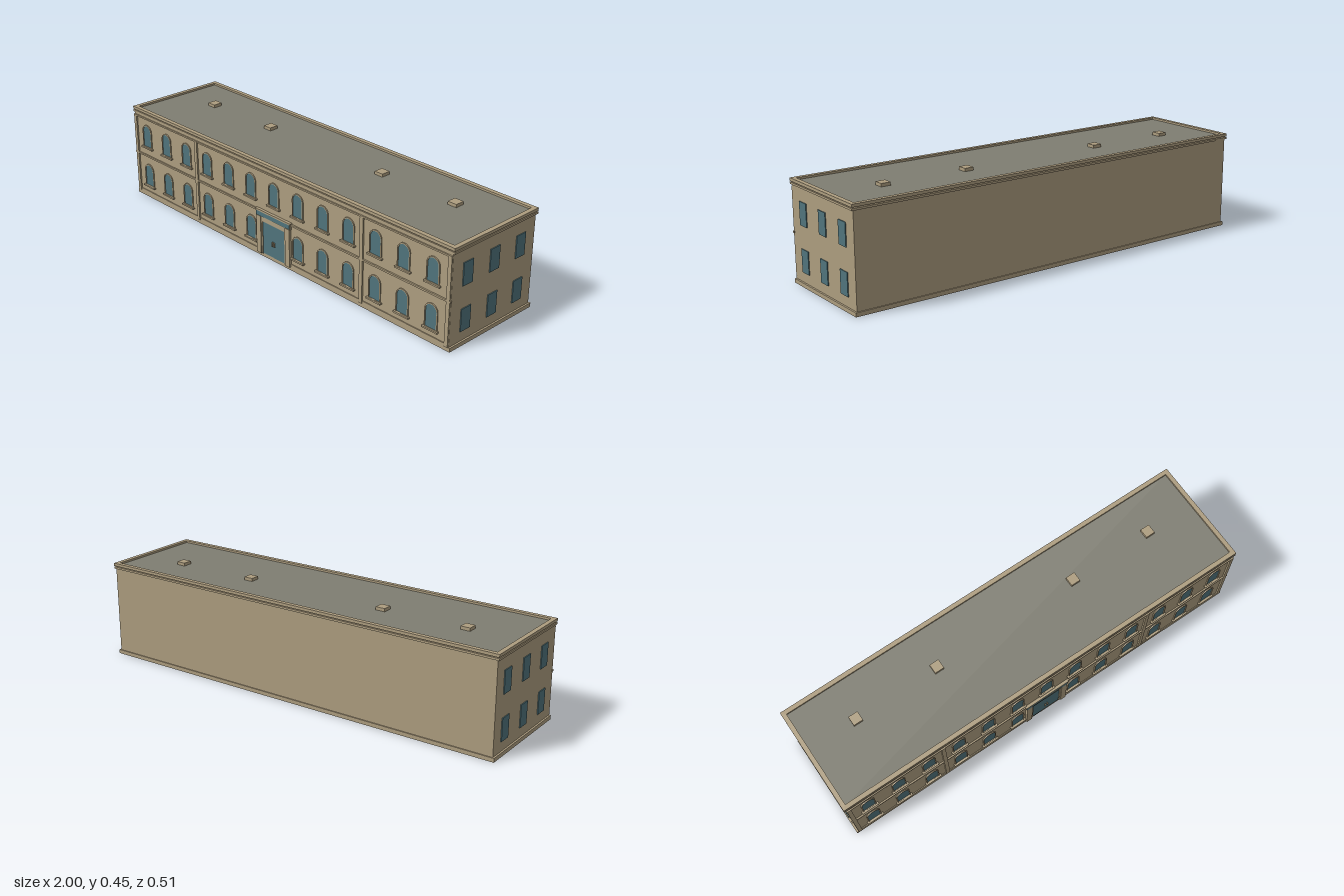
import * as THREE from 'three';

const material = (name, color) => {
  const m = new THREE.MeshStandardMaterial({ color });
  m.name = name;
  return m;
};

export function createModel() {
  const stone = material('tan stone', 0xad9d7f);
  const glass = material('teal glass', 0x50747c);
  const roofing = material('grey roofing', 0x7f7e72);
  const model = new THREE.Group();
  model.name = 'longBuilding';

  const add = (name, geometry, mat, parent = model) => {
    const mesh = new THREE.Mesh(geometry, mat);
    mesh.name = name;
    parent.add(mesh);
    return mesh;
  };
  // Box given by its limits on each axis
  const box = (name, mat, x0, x1, y0, y1, z0, z1, parent) => {
    const mesh = add(name, new THREE.BoxGeometry(x1 - x0, y1 - y0, z1 - z0), mat, parent);
    mesh.position.set((x0 + x1) / 2, (y0 + y1) / 2, (z0 + z1) / 2);
    return mesh;
  };
  // Round-headed outline standing on y = 0
  const arch = (target, halfWidth, height, y0 = 0) => {
    target.moveTo(-halfWidth, y0);
    target.lineTo(halfWidth, y0);
    target.lineTo(halfWidth, height - halfWidth);
    target.absarc(0, height - halfWidth, halfWidth, 0, Math.PI, false);
    target.lineTo(-halfWidth, y0);
    return target;
  };

  // Main block, plinth and cornice bands
  box('walls', stone, -0.992, 0.992, 0.005, 0.425, -0.25, 0.242);
  box('plinth', stone, -1, 1, 0, 0.018, -0.255, 0.245);
  box('lowerCornice', stone, -1, 1, 0.421, 0.43, -0.255, 0.245);
  box('corniceNeck', stone, -0.98, 0.98, 0.428, 0.435, -0.235, 0.225);

  // Parapet ring around the sunken roof
  const rim = new THREE.Shape([[-1, -0.245], [1, -0.245], [1, 0.255], [-1, 0.255]]
    .map(p => new THREE.Vector2(...p)));
  rim.holes.push(new THREE.Path([[-0.98, -0.225], [-0.98, 0.235], [0.98, 0.235], [0.98, -0.225]]
    .map(p => new THREE.Vector2(...p))));
  const parapet = add('parapet', new THREE.ExtrudeGeometry(rim, { depth: 0.013, bevelEnabled: false }), stone);
  parapet.rotation.x = -Math.PI / 2;
  parapet.position.y = 0.434;
  box('roof', roofing, -0.982, 0.982, 0.433, 0.438, -0.237, 0.227);
  for (const x of [-0.755, -0.355, 0.345, 0.745])
    box('roofVent', stone, x - 0.022, x + 0.022, 0.436, 0.452, -0.078, -0.034);

  // Raised strips that divide the front into bays
  for (const x of [-0.982, -0.525, 0.525, 0.982])
    box('pilaster', stone, x - 0.009, x + 0.009, 0.018, 0.412, 0.24, 0.249);
  box('beltCourse', stone, -0.996, 0.996, 0.214, 0.222, 0.24, 0.249);
  box('topBand', stone, -0.992, 0.992, 0.405, 0.412, 0.24, 0.248);
  box('bottomBand', stone, -0.992, 0.992, 0.018, 0.03, 0.24, 0.246);

  // Arched front windows with a slim moulding and a sill
  const pane = new THREE.ExtrudeGeometry(arch(new THREE.Shape(), 0.029, 0.108),
    { depth: 0.003, bevelEnabled: false, curveSegments: 10 });
  const ring = arch(new THREE.Shape(), 0.033, 0.112);
  ring.holes.push(arch(new THREE.Path(), 0.028, 0.107, 0.002));
  const moulding = new THREE.ExtrudeGeometry(ring, { depth: 0.006, bevelEnabled: false, curveSegments: 10 });
  for (const y of [0.063, 0.264]) {
    for (let i = -6; i <= 6; i++) {
      if (i === 0 && y < 0.2) continue; // doorway
      const frontWindow = new THREE.Group();
      frontWindow.name = 'archedWindow';
      frontWindow.position.set(i * 0.15, y, 0.241);
      add('windowGlass', pane, glass, frontWindow);
      add('windowMoulding', moulding, stone, frontWindow);
      box('windowSill', stone, -0.04, 0.04, -0.006, 0.001, 0, 0.013, frontWindow);
      model.add(frontWindow);
    }
  }

  // Plain windows on both ends
  for (const side of [-1, 1])
    for (const y of [0.062, 0.262])
      for (const z of [0.153, -0.005, -0.163])
        box('endWindow', glass, side * 0.9935 - 0.0025, side * 0.9935 + 0.0025, y, y + 0.1, z - 0.028, z + 0.028);

  // Entrance: piers, door, sign panel and hood
  const entrance = new THREE.Group();
  entrance.name = 'entrance';
  model.add(entrance);
  for (const s of [-1, 1]) {
    box('entrancePier', stone, s * 0.092 - 0.014, s * 0.092 + 0.014, 0.016, 0.196, 0.24, 0.254, entrance);
    box('doorJamb', stone, s * 0.0745 - 0.0045, s * 0.0745 + 0.0045, 0.016, 0.18, 0.24, 0.25, entrance);
    box('doorHandle', stone, s * 0.006 - 0.002, s * 0.006 + 0.002, 0.075, 0.095, 0.245, 0.255, entrance);
  }
  box('doorLeaves', glass, -0.07, 0.07, 0.018, 0.173, 0.241, 0.247, entrance);
  box('doorHead', stone, -0.08, 0.08, 0.173, 0.198, 0.24, 0.25, entrance);
  box('signBacking', stone, -0.108, 0.108, 0.194, 0.222, 0.24, 0.251, entrance);
  box('signPanel', glass, -0.107, 0.107, 0.198, 0.219, 0.25, 0.254, entrance);
  box('entranceHood', stone, -0.112, 0.112, 0.219, 0.227, 0.24, 0.255, entrance);

  return model;
}
